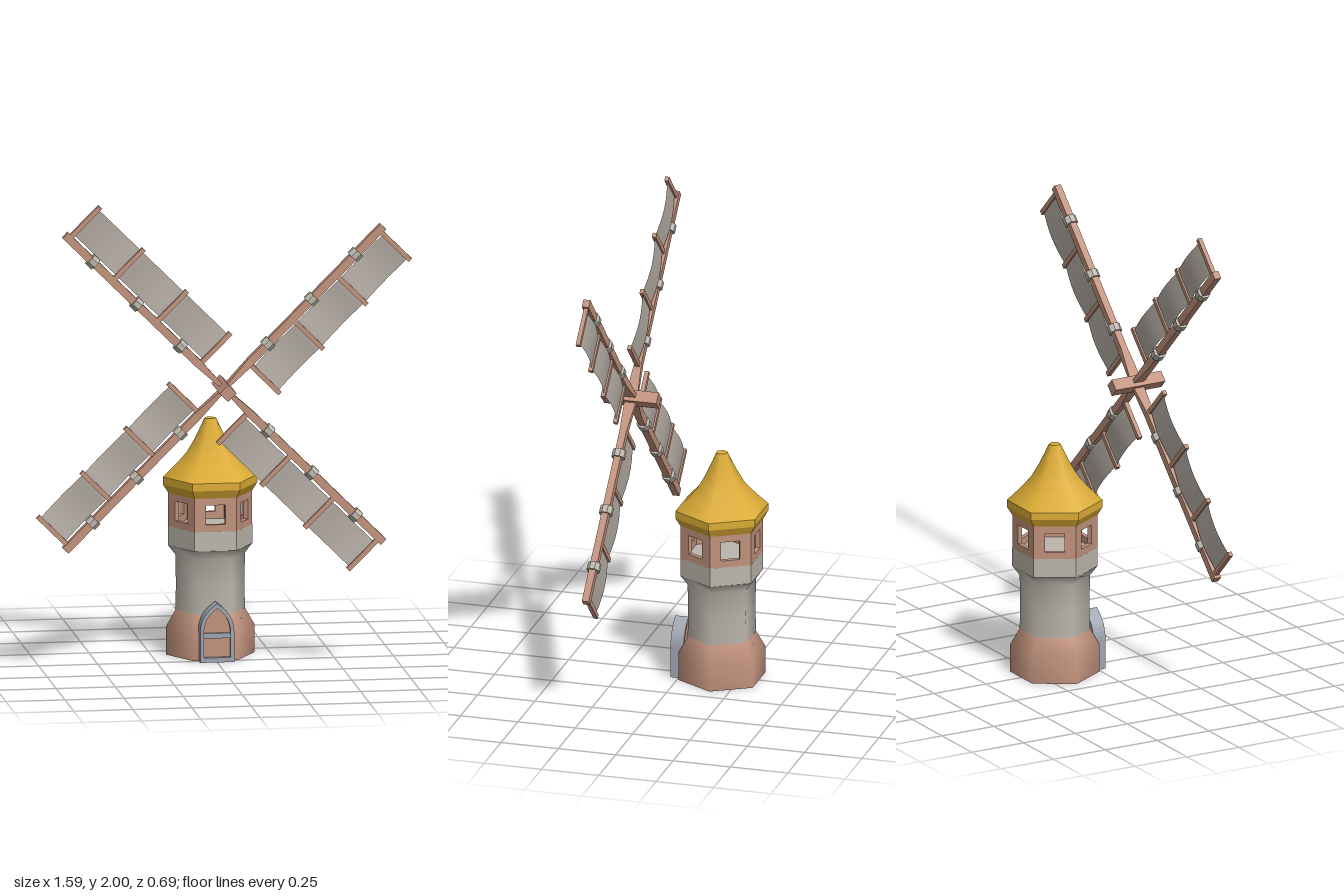
import * as THREE from 'three';

const mat = (color, opts = {}) => new THREE.MeshStandardMaterial({ color, ...opts });
const flat = { flatShading: true };
const WOOD = 0xc0917c, STONE = 0xbcb6ac, GOLD = 0xdcac34, TRIM = 0x9fa4b0, CLOTH = 0xb5ada5;

function add(parent, name, geometry, material) {
  const mesh = new THREE.Mesh(geometry, material);
  mesh.name = name;
  parent.add(mesh);
  return mesh;
}

// Six-sided turned form with corners on the x axis; points are [radius, y] from bottom to top
function hexLathe(points) {
  return new THREE.LatheGeometry(points.map(([r, y]) => new THREE.Vector2(r, y)), 6, Math.PI / 2);
}

function extrude(shape, depth) {
  return new THREE.ExtrudeGeometry(shape, { depth, bevelEnabled: false, curveSegments: 8 });
}

// Pointed arch outline
function archPoints(half, bottom, spring, top) {
  const s = new THREE.Shape();
  s.moveTo(-half, bottom);
  s.lineTo(half, bottom);
  s.lineTo(half, spring);
  s.quadraticCurveTo(half, spring + (top - spring) * 0.6, 0, top);
  s.quadraticCurveTo(-half, spring + (top - spring) * 0.6, -half, spring);
  return s;
}

function createTower() {
  const tower = new THREE.Group();
  tower.name = 'tower';
  tower.position.z = -0.168;

  add(tower, 'baseUnderside', hexLathe([[0, 0], [0.187, 0]]), mat(WOOD, flat));
  add(tower, 'base', hexLathe([[0.187, 0], [0.187, 0.12], [0.147, 0.19]]), mat(WOOD));
  add(tower, 'shaft', hexLathe([[0.147, 0.19], [0.145, 0.3], [0.147, 0.425], [0.178, 0.465]]), mat(STONE));
  add(tower, 'galleryBand', hexLathe([[0.178, 0.465], [0.178, 0.547], [0, 0.547]]), mat(STONE, flat));

  // Six gallery walls, each with a window opening
  const wall = new THREE.Shape();
  wall.moveTo(-0.089, 0.547);
  wall.lineTo(0.089, 0.547);
  wall.lineTo(0.089, 0.7);
  wall.lineTo(-0.089, 0.7);
  const opening = new THREE.Path();
  opening.moveTo(-0.041, 0.577);
  opening.lineTo(-0.041, 0.66);
  opening.lineTo(0.041, 0.66);
  opening.lineTo(0.041, 0.577);
  wall.holes.push(opening);
  const wallGeometry = extrude(wall, 0.02).translate(0, 0, 0.134);
  for (let i = 0; i < 6; i++) {
    add(tower, 'galleryWall', wallGeometry, mat(WOOD, flat)).rotation.y = i * Math.PI / 3;
  }

  // Roof: faceted eaves with a smooth concave spire
  add(tower, 'roofEaves', hexLathe([[0, 0.69], [0.178, 0.69], [0.2, 0.725], [0.2, 0.757]]), mat(GOLD, flat));
  add(tower, 'roofSpire', hexLathe([
    [0.2, 0.757], [0.145, 0.81], [0.1, 0.86], [0.07, 0.91], [0.045, 0.96], [0.025, 1.004],
  ]), mat(GOLD));
  add(tower, 'roofTip', hexLathe([[0.025, 1.004], [0, 1.004]]), mat(GOLD, flat));
  return tower;
}

function createDoor() {
  const door = new THREE.Group();
  door.name = 'door';
  const frame = archPoints(0.072, 0, 0.13, 0.25);
  frame.holes.push(archPoints(0.056, 0.02, 0.13, 0.23));
  add(door, 'doorFrame', extrude(frame, 0.057).translate(0, 0, -0.022), mat(TRIM, flat));
  add(door, 'doorPanel', extrude(archPoints(0.06, 0.015, 0.13, 0.235), 0.036).translate(0, 0, -0.02), mat(WOOD, flat));
  add(door, 'doorBar', new THREE.BoxGeometry(0.116, 0.022, 0.012).translate(0, 0.112, 0.021), mat(TRIM, flat));
  return door;
}

// One arm along +x, with its sail hanging on the -y side
function createArm() {
  const arm = new THREE.Group();
  arm.name = 'sailArm';

  // Spar, narrow and deep at the hub
  const spar = new THREE.BoxGeometry(0.94, 0.034, 0.03, 2, 1, 1).translate(0.48, 0, 0);
  const p = spar.attributes.position;
  for (let i = 0; i < p.count; i++) {
    const x = p.getX(i);
    if (x < 0.1) {
      p.setY(i, Math.sign(p.getY(i)) * 0.007);
      p.setZ(i, Math.sign(p.getZ(i)) * 0.026);
    } else if (x < 0.6) p.setX(i, 0.16);
  }
  add(arm, 'spar', spar, mat(WOOD, flat));

  // Clamps around the spar, halfway between the ribs
  for (const x of [0.262, 0.523, 0.785]) {
    const clamp = new THREE.CylinderGeometry(0.029, 0.029, 0.034, 8).rotateY(Math.PI / 8).rotateZ(Math.PI / 2);
    add(arm, 'clamp', clamp.translate(x, 0, 0), mat(STONE, flat));
  }

  // Cross ribs
  for (let i = 0; i < 4; i++) {
    const rib = new THREE.BoxGeometry(0.02, 0.18, 0.018);
    add(arm, 'rib', rib.translate(0.147 + i * 0.26, -0.096, 0), mat(WOOD, flat));
  }

  // Sail cloth, billowing between the ribs
  const sail = new THREE.PlaneGeometry(0.78, 0.147, 24, 1).translate(0.537, -0.1, 0);
  const s = sail.attributes.position;
  for (let i = 0; i < s.count; i++) {
    s.setZ(i, -0.013 * Math.abs(Math.sin(Math.PI * (s.getX(i) - 0.147) / 0.26)));
  }
  sail.computeVertexNormals();
  add(arm, 'sail', sail, mat(CLOTH, { side: THREE.DoubleSide }));
  return arm;
}

function createRotor() {
  const rotor = new THREE.Group();
  rotor.name = 'rotor';
  rotor.position.set(0, 1.205, 0.226);
  // Square axle standing on its corner
  add(rotor, 'axle', new THREE.CylinderGeometry(0.036, 0.036, 0.238, 4).rotateX(Math.PI / 2), mat(WOOD, flat));
  for (let i = 0; i < 4; i++) {
    const arm = createArm();
    arm.rotation.z = Math.PI / 4 + i * Math.PI / 2;
    rotor.add(arm);
  }
  return rotor;
}

export function createModel() {
  const model = new THREE.Group();
  model.name = 'windmill';
  model.add(createTower(), createDoor(), createRotor());
  return model;
}
